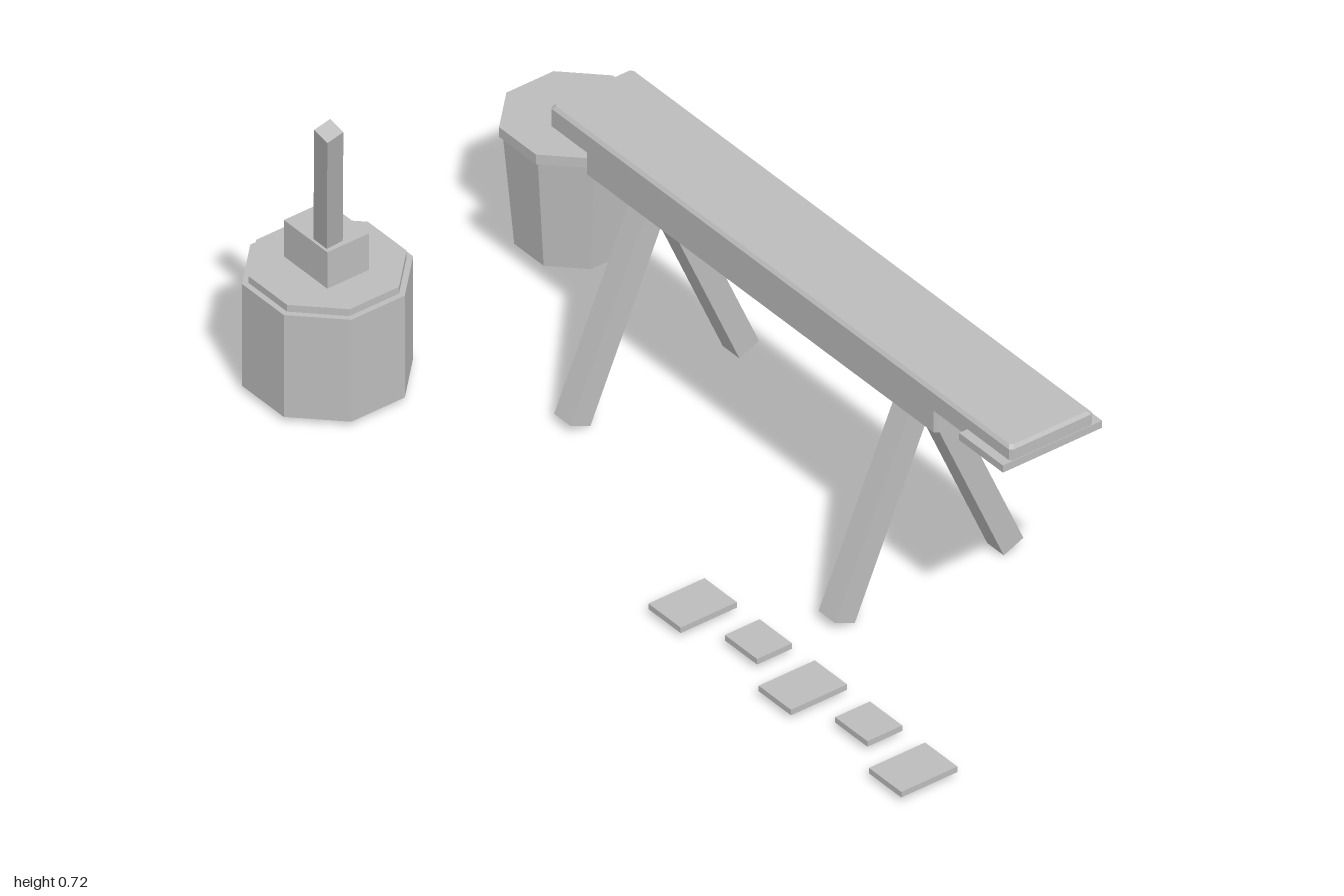
import * as THREE from 'three';

const grey = new THREE.MeshStandardMaterial({ color: 0xbcbcbc, side: THREE.DoubleSide });
grey.name = 'plain grey';

// Outline of a rectangle with optional chamfered corners
const rect = (w, d, c = 0) => (inset) => {
  const x = w / 2 - inset, z = d / 2 - inset;
  if (!c) return [[-x, z], [x, z], [x, -z], [-x, -z]];
  return [[c - x, z], [x - c, z], [x, z - c], [x, c - z], [x - c, -z], [c - x, -z], [-x, c - z], [-x, z - c]];
};

// Outline of an octagon with flat sides along x and z
const octagon = (apothem) => (inset) => {
  const r = (apothem - inset) / Math.cos(Math.PI / 8), pts = [];
  for (let i = 0; i < 8; i++) {
    const a = (i + 0.5) * Math.PI / 4;
    pts.push([r * Math.sin(a), r * Math.cos(a)]);
  }
  return pts;
};

// Hollow shell, open below: stacked rings of [height, inset] closed by a flat top
function shell(name, outline, x, z, rings) {
  const levels = rings.map(([y, inset]) => outline(inset).map(([px, pz]) => [px, y, pz]));
  const pos = [];
  const tri = (...pts) => pts.forEach((p) => pos.push(...p));
  const n = levels[0].length, last = levels.length - 1;
  for (let i = 0; i < n; i++) {
    const k = (i + 1) % n;
    for (let j = 0; j < last; j++) {
      const lo = levels[j], hi = levels[j + 1];
      tri(lo[i], lo[k], hi[i]);
      tri(lo[k], hi[k], hi[i]);
    }
    tri([0, rings[last][0], 0], levels[last][i], levels[last][k]);
  }
  const geo = new THREE.BufferGeometry();
  geo.setAttribute('position', new THREE.Float32BufferAttribute(pos, 3));
  geo.computeVertexNormals();
  const mesh = new THREE.Mesh(geo, grey);
  mesh.name = name;
  mesh.position.set(x, 0, z);
  return mesh;
}

function bar(name, w, h, d) {
  const mesh = new THREE.Mesh(new THREE.BoxGeometry(w, h, d), grey);
  mesh.name = name;
  return mesh;
}

export function createModel() {
  const model = new THREE.Group();
  model.name = 'workbenchSet';
  const midZ = -0.164;

  // Bench: top plank, end batten and beam
  const bench = new THREE.Group();
  bench.name = 'bench';
  bench.add(
    shell('topPlank', rect(1.442, 0.202, 0.006), 0.135, midZ, [[0.547, 0], [0.588, 0], [0.595, 0.006]]),
    shell('endBatten', rect(0.137, 0.242), 0.789, midZ, [[0.546, 0], [0.563, 0]]),
    shell('beam', rect(1.095, 0.139, 0.006), 0.032, midZ, [[0.459, 0], [0.537, 0], [0.537, 0.009], [0.547, 0.009]]),
  );

  // Splayed leg pairs
  for (const x of [-0.381, 0.446]) {
    for (const s of [1, -1]) {
      const leg = bar(s > 0 ? 'frontLeg' : 'backLeg', 0.052, 0.53, 0.052);
      leg.position.set(x, 0.253, midZ + s * 0.1);
      leg.rotation.x = -s * 0.411;
      bench.add(leg);
    }
  }
  model.add(bench);

  // Stump with a block and a leaning handle
  const stump = new THREE.Group();
  stump.name = 'stumpWithMallet';
  stump.add(
    shell('stump', octagon(0.158), -0.794, 0.317, [[0.012, 0], [0.253, 0], [0.253, 0.012], [0.269, 0.012]]),
    shell('malletHead', rect(0.136, 0.102), -0.796, 0.318, [[0.269, 0], [0.355, 0]]),
  );
  const handle = bar('malletHandle', 0.04, 0.43, 0.04);
  const top = new THREE.Vector3(-0.657, 0.705, 0.421);
  handle.rotation.set(0.221, 0, -0.279);
  const up = new THREE.Vector3(0, 1, 0).applyEuler(handle.rotation);
  handle.position.copy(top).addScaledVector(up, -0.215);
  stump.add(handle);
  model.add(stump);

  // Tapered bucket with a lid
  const bucket = new THREE.Group();
  bucket.name = 'bucket';
  bucket.add(
    shell('bucketBody', octagon(0.132), -0.861, -0.338, [[0.012, 0.021], [0.272, 0]]),
    shell('bucketLid', octagon(0.139), -0.861, -0.338, [[0.271, 0], [0.294, 0]]),
  );
  model.add(bucket);

  // Row of thin tiles, long and short in turn
  for (let i = 0; i < 5; i++) {
    const d = i % 2 ? 0.085 : 0.137;
    model.add(shell('tile', rect(0.101, d), 0.255 + i * 0.1725, 0.176 + d / 2, [[0.012, 0], [0.025, 0]]));
  }
  return model;
}
